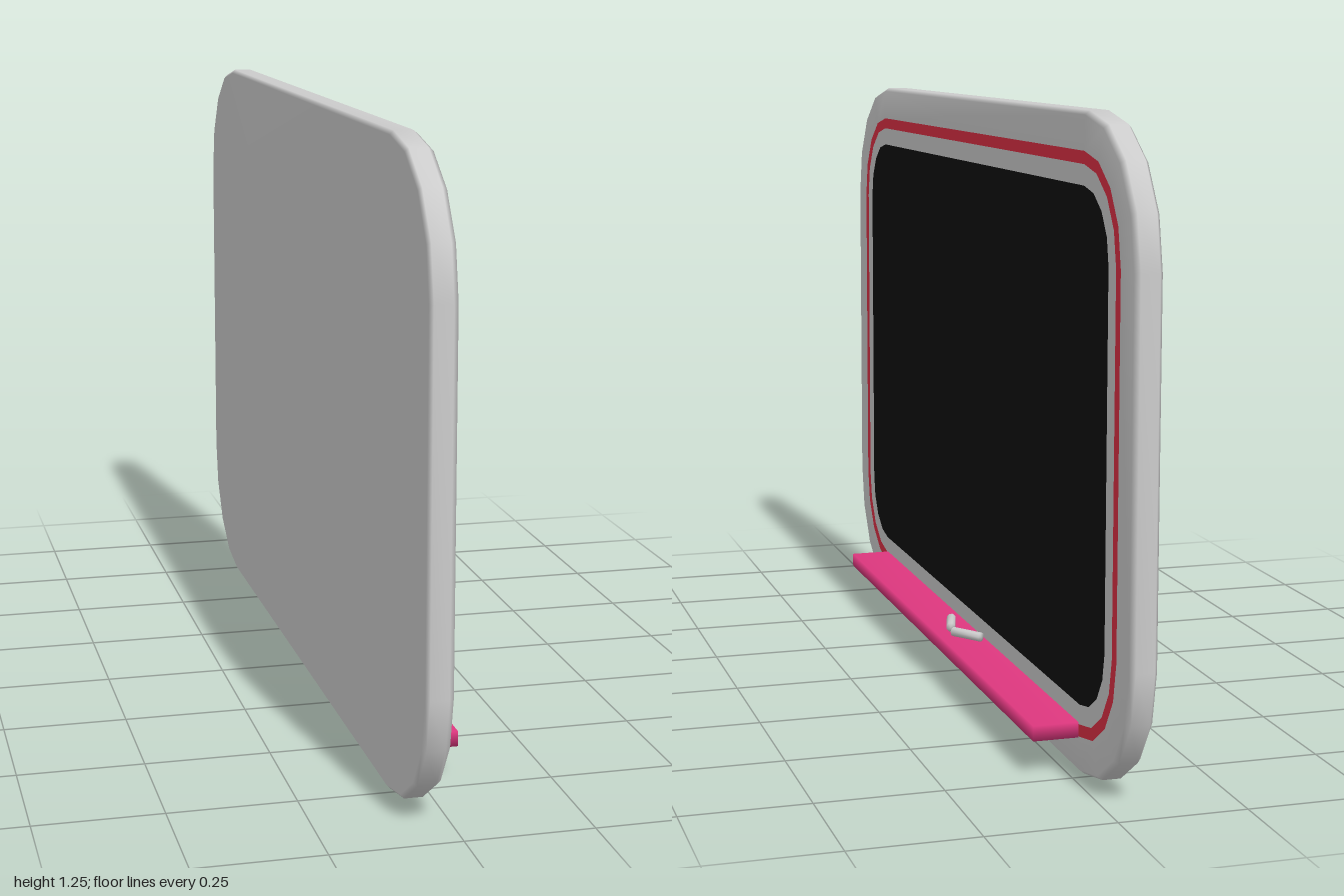
import * as THREE from 'three';
import { mergeVertices } from 'three/addons/utils/BufferGeometryUtils.js';

const MID_Y = 0.625, CORNER_Z = 0.73, CORNER_Y = 0.355, STEPS = 4;

// Rounded-rectangle outline in the y-z plane; r is the corner radius, r < 0 collapses to the middle.
function outline(x, r) {
  const points = [];
  for (let corner = 0; corner < 4; corner++) {
    const su = corner === 0 || corner === 3 ? 1 : -1;
    const sv = corner < 2 ? 1 : -1;
    for (let i = 0; i <= STEPS; i++) {
      const a = (corner + i / STEPS) * Math.PI / 2;
      const u = su * CORNER_Z + r * Math.cos(a);
      const v = sv * CORNER_Y + r * Math.sin(a);
      points.push(r < 0 ? [x, MID_Y, 0] : [x, MID_Y + v, -u]);
    }
  }
  return points;
}

// Smooth-shaded skin over successive outlines, given as [x, r] from back to front.
function band(profile) {
  const rings = profile.map(([x, r]) => outline(x, r));
  const n = rings[0].length;
  const index = [];
  for (let k = 0; k < rings.length - 1; k++) {
    for (let j = 0; j < n; j++) {
      const a = k * n + j, b = k * n + (j + 1) % n;
      index.push(a, b, b + n, a, b + n, a + n);
    }
  }
  const geometry = new THREE.BufferGeometry();
  geometry.setAttribute('position', new THREE.Float32BufferAttribute(rings.flat(2), 3));
  geometry.setIndex(index);
  return smooth(geometry);
}

// Shares corner vertices so that shading runs across the edges.
function smooth(geometry) {
  geometry.deleteAttribute('normal');
  geometry.deleteAttribute('uv');
  const merged = mergeVertices(geometry, 1e-4);
  merged.computeVertexNormals();
  return merged;
}

export function createModel() {
  const group = new THREE.Group();
  const add = (name, geometry, color) => {
    const mesh = new THREE.Mesh(geometry, new THREE.MeshStandardMaterial({ color }));
    mesh.name = name;
    group.add(mesh);
    return mesh;
  };

  // Frame: closed back, softened rim and front border
  add('frame', band([
    [-0.073, -1], [-0.073, 0.262], [-0.066, 0.27], [-0.03, 0.27], [-0.02, 0.262], [-0.02, 0.197],
  ]), 0xcccccc);
  // Inlaid stripe, inner border and writing surface
  add('stripe', band([[-0.02, 0.197], [-0.02, 0.173]]), 0xdd3045);
  add('innerBorder', band([[-0.02, 0.173], [-0.02, 0.134]]), 0xcccccc);
  add('writingSurface', band([[-0.02, 0.134], [-0.02, -1]]), 0x0e0e0e);

  // Ledge along the bottom
  add('tray', smooth(new THREE.BoxGeometry(0.09, 0.03, 1.45)), 0xe03880)
    .position.set(0.025, 0.085, 0);

  // Two sticks of chalk lying on the ledge: [x, z] of both ends
  const sticks = [[[0.003, -0.16], [0.047, -0.10]], [[0.043, -0.066], [0.021, 0.008]]];
  sticks.forEach(([[x0, z0], [x1, z1]], i) => {
    const direction = new THREE.Vector3(x1 - x0, 0, z1 - z0);
    const stick = add('chalk' + (i + 1),
      smooth(new THREE.CylinderGeometry(0.01, 0.01, direction.length(), 8)), 0xcccccc);
    stick.position.set((x0 + x1) / 2, 0.117, (z0 + z1) / 2);
    stick.quaternion.setFromUnitVectors(new THREE.Vector3(0, 1, 0), direction.normalize());
  });

  return group;
}
